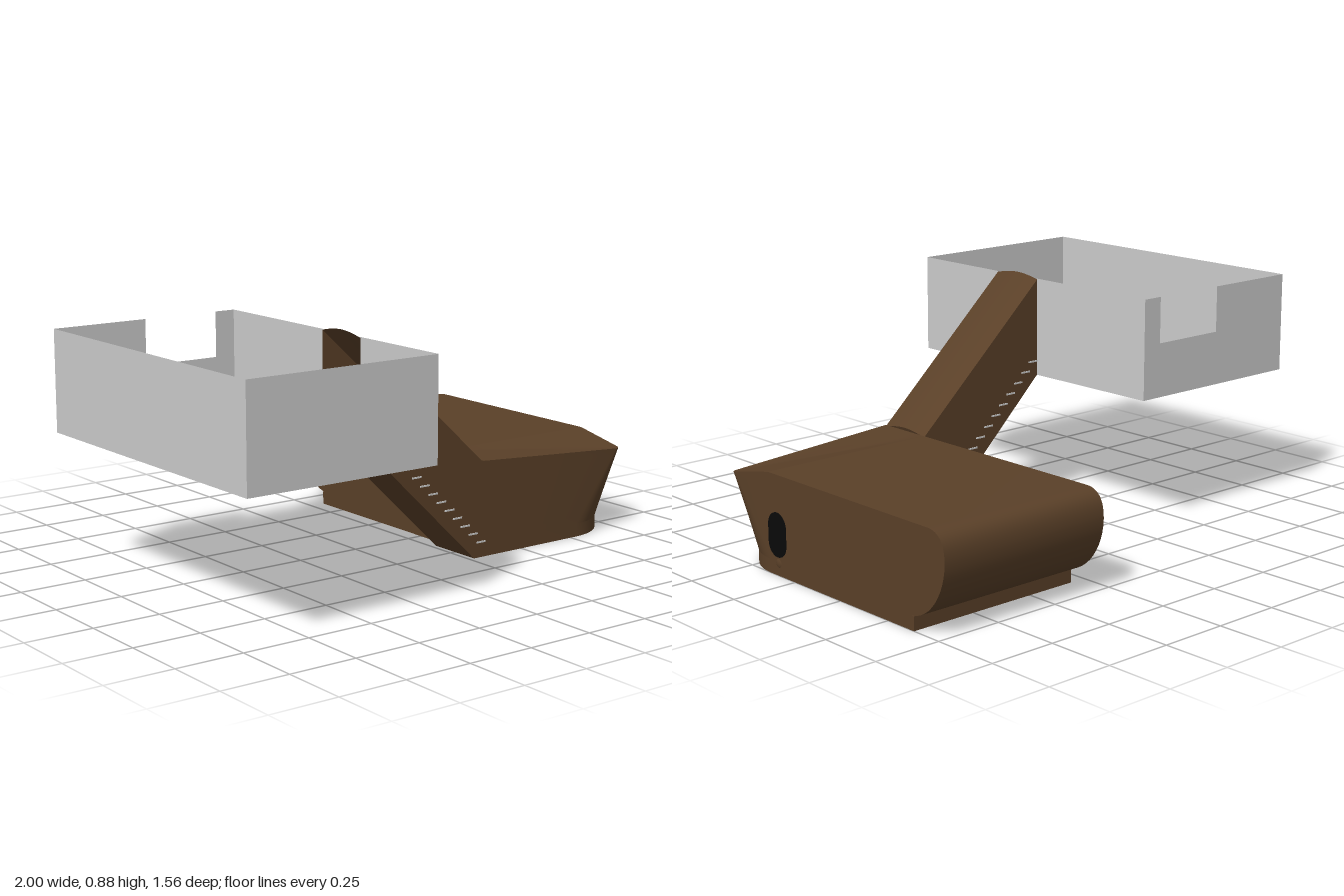
import * as THREE from 'three';
import { toCreasedNormals } from 'three/addons/utils/BufferGeometryUtils.js';

const grey = new THREE.MeshStandardMaterial({ color: 0xcccccc, side: THREE.DoubleSide });
const brown = new THREE.MeshStandardMaterial({ color: 0x5a4028, side: THREE.DoubleSide });
const black = new THREE.MeshStandardMaterial({ color: 0x0a0a0a });

function add(group, name, geometry, material) {
  const mesh = new THREE.Mesh(geometry, material);
  mesh.name = name;
  group.add(mesh);
  return mesh;
}

// Skin a list of rows, each a list of [x, y, z] points of equal count
function loft(rows, crease = 0.6) {
  const n = rows[0].length;
  const index = [];
  for (let r = 0; r < rows.length - 1; r++) {
    for (let i = 0; i < n - 1; i++) {
      const a = r * n + i, b = a + 1, c = a + n, d = c + 1;
      index.push(a, b, c, b, d, c);
    }
  }
  const g = new THREE.BufferGeometry();
  g.setAttribute('position', new THREE.Float32BufferAttribute(rows.flat(2), 3));
  g.setIndex(index);
  return toCreasedNormals(g, crease);
}

function polygon(points) {
  return new THREE.Shape(points.map(([x, y]) => new THREE.Vector2(x, y)));
}

// Front edge of the corner in plan: straight, rounded by r, then back along x = 1
function cornerOutline(r) {
  const pts = [[0.31, 0.36], [(1.31 - r) / 2, 0.36]];
  for (let i = 0; i <= 12; i++) {
    const a = (Math.PI / 2) * (1 - i / 12);
    pts.push([1 - r + r * Math.cos(a), 0.36 - r + r * Math.sin(a)]);
  }
  pts.push([1, 0.14]);
  return pts;
}

// Open tray with a notched back wall and an opening for the passage
function tray() {
  const g = new THREE.Group();
  g.name = 'tray';
  const x0 = -1, x1 = -0.25, z0 = -0.42, z1 = 0.78, y0 = 0.5, y1 = 0.87;
  const rect = (a, b, c, d) => new THREE.ShapeGeometry(polygon([[a, b], [c, b], [c, d], [a, d]]));
  add(g, 'trayFloor', rect(x0, -z1, x1, -z0).rotateX(-Math.PI / 2).translate(0, y0, 0), grey);
  add(g, 'trayFrontWall', rect(x0, y0, x1, y1).translate(0, 0, z1), grey);
  add(g, 'traySideWall', rect(-z1, y0, -z0, y1).rotateY(Math.PI / 2).translate(x0, 0, 0), grey);
  for (const [a, b] of [[z0, 0.14], [0.36, z1]]) {
    add(g, 'trayInnerWall', rect(-b, y0, -a, y1).rotateY(Math.PI / 2).translate(x1, 0, 0), grey);
  }
  const back = polygon([[x0, y0], [x1, y0], [x1, y1], [-0.33, y1],
    [-0.33, 0.7], [-0.63, 0.7], [-0.63, y1], [x0, y1]]);
  add(g, 'trayBackWall', new THREE.ShapeGeometry(back).translate(0, 0, z0), grey);
  return g;
}

// Hollow sloping passage with an arched roof and thin treads
function passage() {
  const g = new THREE.Group();
  g.name = 'slopingPassage';
  const section = (x, bottom, top) => {
    const pts = [[x, bottom, 0.14]];
    for (let i = 0; i <= 10; i++) {
      const t = i / 10;
      pts.push([x, top + 0.015 * Math.sin(Math.PI * t), 0.14 + 0.22 * t]);
    }
    pts.push([x, bottom, 0.36], [x, bottom, 0.14]);
    return pts;
  };
  add(g, 'passageShell', loft([section(-0.25, 0.5, 0.867),
    section(0.27, 0, 0.391), section(0.31, 0, 0.355)], 0.4), brown);
  for (let i = 0; i < 15; i++) {
    const t = i / 14;
    const tread = add(g, 'tread', new THREE.BoxGeometry(0.042, 0.006, 0.226), grey);
    tread.position.set(-0.228 + 0.53 * t, 0.555 - 0.497 * t, 0.25);
  }
  return g;
}

// Long chamber with a rounded far end, and the softly rounded front corner
function chamber() {
  const g = new THREE.Group();
  g.name = 'chamber';
  const profile = new THREE.Shape();
  profile.moveTo(-0.14, 0.05);
  profile.lineTo(0.62, 0.05);
  profile.bezierCurveTo(0.71, 0.06, 0.78, 0.16, 0.782, 0.26);
  profile.bezierCurveTo(0.782, 0.32, 0.76, 0.36, 0.7, 0.36);
  profile.lineTo(-0.14, 0.36);
  const body = new THREE.ExtrudeGeometry(profile, { depth: 0.69, bevelEnabled: false, curveSegments: 12 });
  body.rotateY(Math.PI / 2).translate(0.31, 0, 0);
  add(g, 'chamberBody', toCreasedNormals(body, 0.6), brown);

  // Corner walls: the plan radius shrinks towards the top
  const rows = [];
  const topAt = ([x, z]) => 0.36 - 0.045 * ((x - 0.31) / 0.69) * ((z - 0.14) / 0.22);
  for (let j = 0; j <= 10; j++) {
    const s = j / 10;
    rows.push(cornerOutline(0.02 + 0.2 * (1 - s)).map((p) =>
      [p[0], 0.05 + s * (topAt(p) - 0.05), p[1]]));
  }
  // Corner roof drawn in to the joint with the passage
  const rim = rows[rows.length - 1];
  for (const t of [0.25, 0.5, 0.75, 1]) {
    rows.push(rim.map(([x, y, z]) =>
      [x + (0.31 - x) * t, y + (0.36 - y) * t, z + (0.14 - z) * t]));
  }
  add(g, 'chamberCorner', loft(rows, 0.7), brown);

  // Base slab, its front corner rounded to suit
  const plan = polygon([[0.31, 0.63], [0.31, -0.36],
    ...cornerOutline(0.22).slice(1).map(([x, z]) => [x, -z]), [1, 0.63]]);
  const slab = new THREE.ExtrudeGeometry(plan, { depth: 0.05, bevelEnabled: false });
  add(g, 'baseSlab', toCreasedNormals(slab.rotateX(-Math.PI / 2), 0.5), brown);

  // Dark oval opening and the small bead below it
  const oval = new THREE.Shape();
  oval.absarc(0, 0.03, 0.05, 0, Math.PI);
  oval.absarc(0, -0.03, 0.05, Math.PI, Math.PI * 2);
  const opening = new THREE.ExtrudeGeometry(oval, { depth: 0.012, bevelEnabled: false });
  add(g, 'ovalOpening', opening.rotateY(Math.PI / 2).translate(0.99, 0.146, 0.095), black);
  const bead = add(g, 'bead', new THREE.SphereGeometry(0.022, 16, 10), brown);
  bead.scale.x = 0.4;
  bead.position.set(0.994, 0.045, 0.092);
  return g;
}

export function createModel() {
  const model = new THREE.Group();
  model.name = 'model';
  model.add(tray(), passage(), chamber());
  return model;
}
